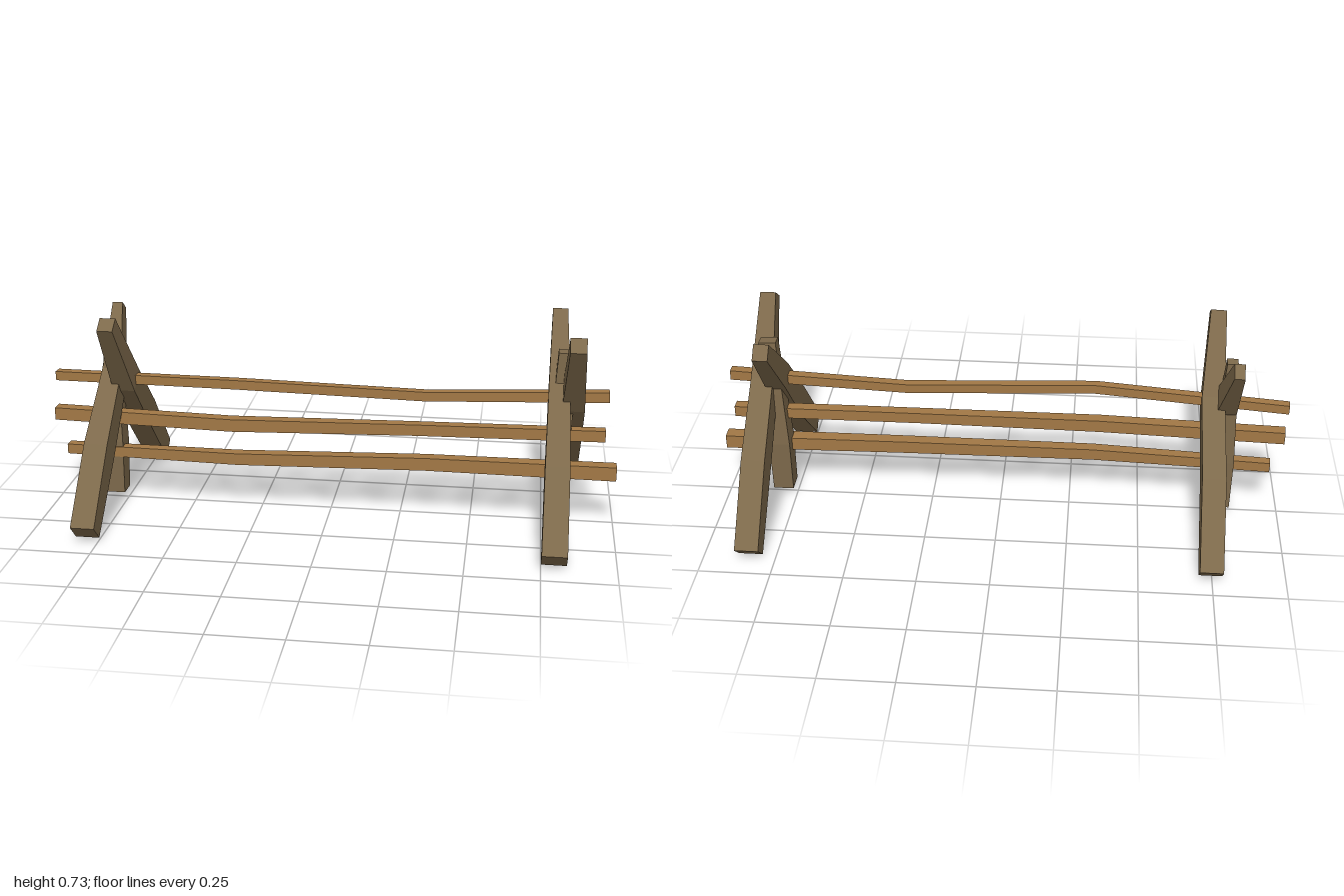
import * as THREE from 'three';

const postWood = new THREE.MeshStandardMaterial({ name: 'postWood', color: 0x7d694b, flatShading: true });
const railWood = new THREE.MeshStandardMaterial({ name: 'railWood', color: 0xa27845, flatShading: true });

const X = new THREE.Vector3(1, 0, 0);
const Z = new THREE.Vector3(0, 0, 1);

// Bent four-sided beam. Each station is [x, y, z, width along side, depth across it].
function beam(name, material, side, stations) {
  const pts = stations.map(([x, y, z]) => new THREE.Vector3(x, y, z));
  const last = pts.length - 1;
  const rings = stations.map(([, , , w, d], i) => {
    const t = pts[Math.min(i + 1, last)].clone().sub(pts[Math.max(i - 1, 0)]).normalize();
    const s = side.clone().addScaledVector(t, -side.dot(t)).normalize();
    const n = t.clone().cross(s);
    return [[-1, -1], [1, -1], [1, 1], [-1, 1]].map(([a, b]) =>
      pts[i].clone().addScaledVector(s, a * w / 2).addScaledVector(n, b * d / 2));
  });

  const verts = [];
  const quad = (a, b, c, d) => [a, b, c, a, c, d].forEach(v => verts.push(v.x, v.y, v.z));
  for (let i = 0; i < last; i++) {
    for (let k = 0; k < 4; k++) {
      const m = (k + 1) % 4;
      quad(rings[i][k], rings[i][m], rings[i + 1][m], rings[i + 1][k]);
    }
  }
  const [a, b, c, d] = rings[0];
  quad(a, d, c, b);
  quad(...rings[last]);

  const geo = new THREE.BufferGeometry();
  geo.setAttribute('position', new THREE.Float32BufferAttribute(verts, 3));
  geo.computeVertexNormals();
  const mesh = new THREE.Mesh(geo, material);
  mesh.name = name;
  return mesh;
}

export function createModel() {
  const model = new THREE.Group();
  model.name = 'railFence';

  // Left end: two crossed legs and an upright
  const leftEnd = new THREE.Group();
  leftEnd.name = 'leftEnd';
  leftEnd.add(
    beam('frontLeg', postWood, X, [
      [0.793, 0.038, 0.42, 0.085, 0.082], [0.793, 0.262, 0.205, 0.083, 0.11],
      [0.79, 0.495, 0.0, 0.072, 0.092], [0.785, 0.705, -0.21, 0.052, 0.058]]),
    beam('backLeg', postWood, X, [
      [0.84, 0.031, -0.42, 0.083, 0.08], [0.84, 0.258, -0.207, 0.083, 0.108],
      [0.84, 0.46, 0.018, 0.078, 0.092], [0.84, 0.71, 0.206, 0.055, 0.063]]),
    beam('upright', postWood, X, [
      [0.795, 0.035, 0.004, 0.072, 0.072], [0.795, 0.23, 0, 0.075, 0.08],
      [0.805, 0.43, 0.005, 0.07, 0.065], [0.812, 0.63, 0.012, 0.06, 0.046]]));

  // Right end: same construction, slightly thinner tips
  const rightEnd = new THREE.Group();
  rightEnd.name = 'rightEnd';
  rightEnd.add(
    beam('frontLeg', postWood, X, [
      [-0.79, 0.042, 0.42, 0.083, 0.08], [-0.79, 0.26, 0.205, 0.083, 0.108],
      [-0.785, 0.465, -0.01, 0.07, 0.088], [-0.802, 0.682, -0.175, 0.036, 0.055]]),
    beam('backLeg', postWood, X, [
      [-0.745, 0.033, -0.425, 0.08, 0.08], [-0.745, 0.26, -0.207, 0.082, 0.105],
      [-0.737, 0.46, 0.01, 0.078, 0.092], [-0.747, 0.713, 0.188, 0.055, 0.058]]),
    beam('upright', postWood, X, [
      [-0.79, 0.035, 0.004, 0.072, 0.072], [-0.79, 0.23, 0, 0.075, 0.08],
      [-0.79, 0.43, -0.005, 0.06, 0.06], [-0.792, 0.63, -0.018, 0.038, 0.036]]));

  // Three wavy rails
  const rails = new THREE.Group();
  rails.name = 'rails';
  rails.add(
    beam('topRail', railWood, Z, [
      [-1, 0.457, -0.022, 0.033, 0.033], [-0.33, 0.473, 0.04, 0.033, 0.033],
      [0.33, 0.455, 0.025, 0.033, 0.033], [0.96, 0.482, 0.028, 0.035, 0.036]]),
    beam('middleRail', railWood, Z, [
      [-1, 0.325, 0.008, 0.045, 0.045], [-0.35, 0.323, 0.042, 0.044, 0.045],
      [0.3, 0.333, 0.03, 0.04, 0.04], [0.955, 0.338, 0.02, 0.04, 0.04]]),
    beam('bottomRail', railWood, Z, [
      [-0.96, 0.193, 0.015, 0.036, 0.036], [-0.33, 0.198, 0.047, 0.042, 0.042],
      [0.34, 0.208, 0.03, 0.045, 0.046], [1, 0.205, 0.026, 0.05, 0.05]]));

  model.add(leftEnd, rightEnd, rails);
  return model;
}
